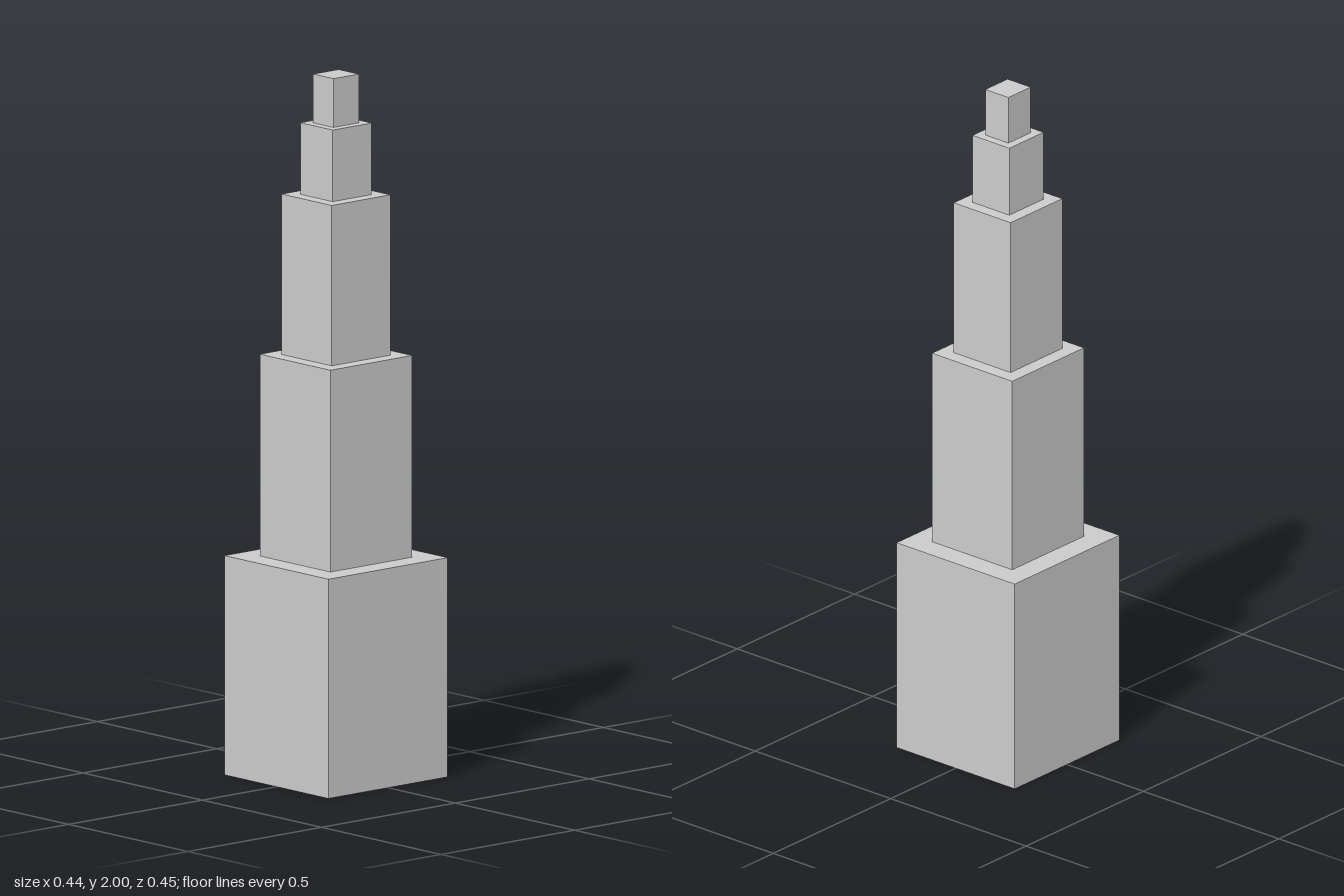
import * as THREE from 'three';

// Stepped tower: [name, width, depth, bottom, top] of each tier
const TIERS = [
  ['baseTier', 0.436, 0.446, 0, 0.625],
  ['lowerTier', 0.296, 0.306, 0.625, 1.2],
  ['middleTier', 0.21, 0.22, 1.2, 1.657],
  ['upperTier', 0.136, 0.146, 1.657, 1.861],
  ['topTier', 0.085, 0.095, 1.861, 2],
];

export function createModel() {
  const tower = new THREE.Group();
  tower.name = 'steppedTower';
  const material = new THREE.MeshStandardMaterial({ color: 0xcccccc, flatShading: true });

  // Stack the tiers on one another
  for (const [name, width, depth, bottom, top] of TIERS) {
    const tier = new THREE.Mesh(new THREE.BoxGeometry(width, top - bottom, depth), material);
    tier.name = name;
    tier.position.y = (bottom + top) / 2;
    tower.add(tier);
  }
  return tower;
}
